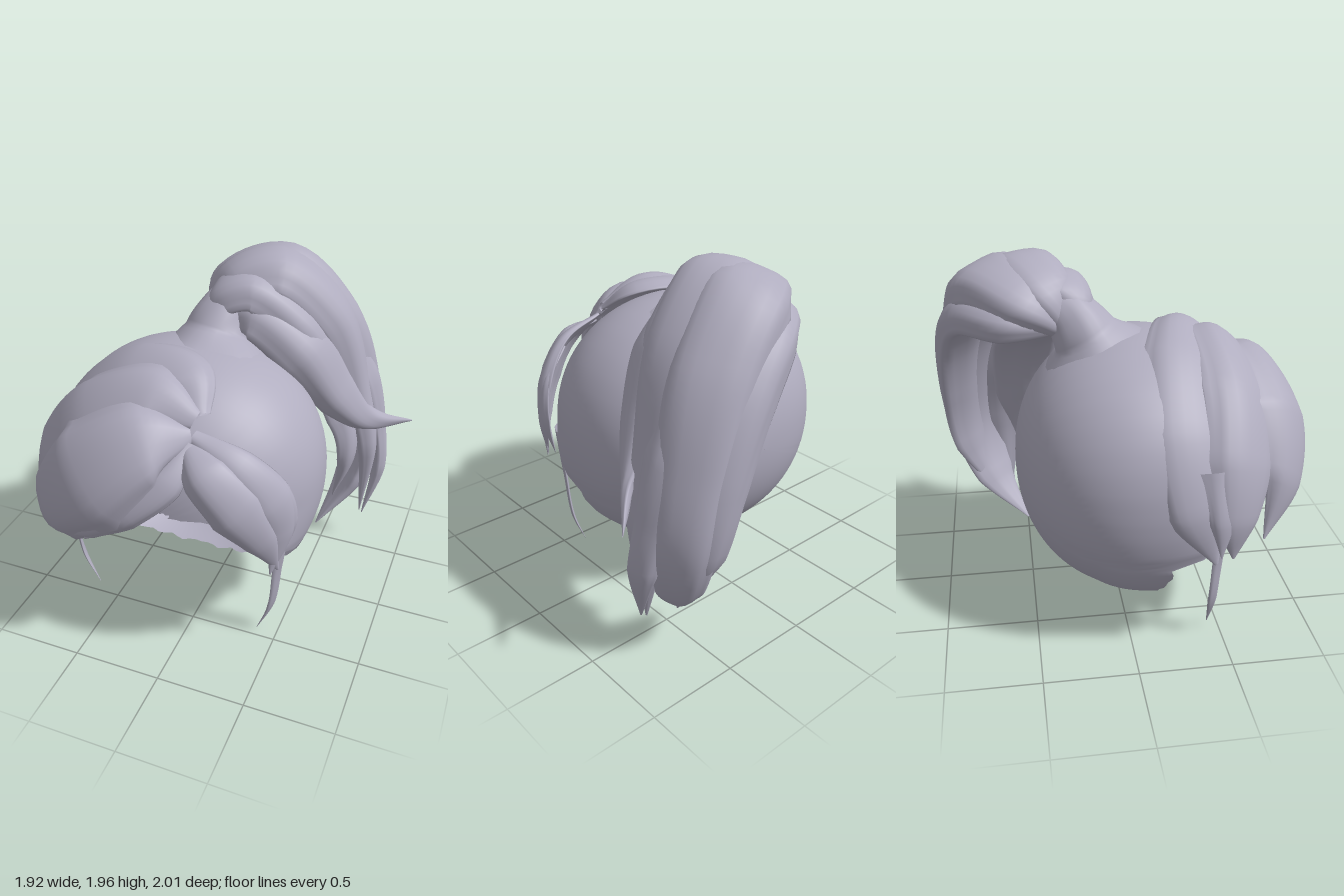
import * as THREE from 'three';

const hair = new THREE.MeshStandardMaterial({ color: 0xb0adbf, side: THREE.DoubleSide });
hair.name = 'ash lilac hair';

const HEAD = new THREE.Vector3(-0.15, 0.87, 0.1);
const TAIL = new THREE.Vector3(0.15, 1.1, -0.5);

// Smooth surface of closed rings: at(u, angle) gives a point, u runs 0..1 along the part
function ringSurface(at, rows, sides) {
  const pos = [], idx = [];
  for (let i = 0; i <= rows; i++) {
    for (let j = 0; j < sides; j++) pos.push(...at(i / rows, (j / sides) * Math.PI * 2).toArray());
  }
  for (let i = 0; i < rows; i++) {
    for (let j = 0; j < sides; j++) {
      const k = (j + 1) % sides;
      const a = i * sides + j, b = a + sides, c = (i + 1) * sides + k, d = i * sides + k;
      idx.push(a, b, c, a, c, d);
    }
  }
  const g = new THREE.BufferGeometry();
  g.setAttribute('position', new THREE.Float32BufferAttribute(pos, 3));
  g.setIndex(idx);
  g.computeVertexNormals();
  return g;
}

// Piecewise linear lookup in [key, value] pairs
function lookup(table, x) {
  for (let i = 1; i < table.length; i++) {
    const [x0, y0] = table[i - 1], [x1, y1] = table[i];
    if (x <= x1) return y0 + (y1 - y0) * Math.max(0, (x - x0) / (x1 - x0));
  }
  return table[table.length - 1][1];
}

// Tapered lock of hair through [x, y, z, halfWidth] stations, lying flat around a centre
function lock(name, stations, { centre = HEAD, thick = 0.3, bend = 0.22, ridge = 0.06 } = {}) {
  const curve = new THREE.CatmullRomCurve3(stations.map(([x, y, z]) => new THREE.Vector3(x, y, z)));
  const last = stations.length - 1;
  const at = (u, a) => {
    const p = curve.getPoint(u), t = curve.getTangent(u);
    const n = p.clone().sub(centre);
    n.addScaledVector(t, -n.dot(t)).normalize();
    const b = t.clone().cross(n);
    const i = Math.min(last - 1, Math.floor(u * last));
    const f = u * last - i;
    const w = THREE.MathUtils.lerp(stations[i][3], stations[i + 1][3], f);
    const r = w * (1 + ridge * Math.cos(5 * a + 3 * u));
    const c = Math.cos(a);
    return p.addScaledVector(b, r * c).addScaledVector(n, r * thick * Math.sin(a) - bend * w * c * c);
  };
  const mesh = new THREE.Mesh(ringSurface(at, last * 8, 24), hair);
  mesh.name = name;
  return mesh;
}

// Rounded scalp, open around the face and neck with a ragged hairline
function scalp() {
  const hairline = [[-90, 1.72], [-65, 1.66], [-48, 1.5], [-26, 1.42], [-22, 1.0], [0, 0.75], [8, 0.5],
    [20, 0.24], [90, 0.09]];
  const at = (u, a) => {
    let deg = THREE.MathUtils.radToDeg(a);
    if (deg > 270) deg -= 360;
    if (deg > 90) deg = 180 - deg;
    const start = lookup(hairline, deg) + 0.015 * Math.sin(a * 37) + 0.01 * Math.sin(a * 23);
    const th = start + (Math.PI - 0.002 - start) * u;
    const d = new THREE.Vector3(Math.sin(th) * Math.cos(a), Math.sin(th) * Math.sin(a), Math.cos(th));
    // squarer towards the lower front corners
    const p = 2.12 + 0.9 * Math.max(0, -d.y) * Math.max(0, 0.4 + d.z);
    const len = (Math.abs(d.x) ** p + Math.abs(d.y) ** p + Math.abs(d.z) ** p) ** (1 / p);
    return d.divideScalar(len).multiply(new THREE.Vector3(0.77, 0.72, 0.67)).add(HEAD);
  };
  const mesh = new THREE.Mesh(ringSurface(at, 40, 120), hair);
  mesh.name = 'scalp';
  return mesh;
}

function part(name, ...meshes) {
  const g = new THREE.Group();
  g.name = name;
  g.add(...meshes);
  return g;
}

export function createModel() {
  const model = new THREE.Group();
  model.name = 'hairstyle';
  model.add(scalp());

  // Fringe swept from the parting to the right side
  model.add(part('rightFringe',
    lock('mainSweep', [[0.07, 1.39, 0.63, 0.05], [-0.13, 1.39, 0.77, 0.23], [-0.42, 1.17, 0.87, 0.31],
      [-0.66, 0.9, 0.82, 0.22], [-0.8, 0.65, 0.68, 0.01]]),
    lock('middleSweep', [[0.08, 1.45, 0.58, 0.06], [-0.17, 1.53, 0.56, 0.19], [-0.52, 1.36, 0.6, 0.25],
      [-0.77, 1.08, 0.57, 0.24], [-0.87, 0.82, 0.53, 0.16], [-0.88, 0.6, 0.5, 0.01]]),
    lock('crownSweep', [[0.09, 1.46, 0.55, 0.05], [-0.03, 1.59, 0.4, 0.13], [-0.4, 1.53, 0.32, 0.21],
      [-0.74, 1.25, 0.29, 0.24], [-0.9, 0.9, 0.32, 0.18], [-0.92, 0.6, 0.4, 0.01]], { thick: 0.25 }),
    lock('centreLock', [[0.07, 1.36, 0.66, 0.04], [0.01, 1.2, 0.82, 0.09], [-0.18, 1.02, 0.92, 0.08],
      [-0.41, 0.82, 0.93, 0.005]]),
    lock('innerLock', [[-0.05, 1.25, 0.8, 0.06], [-0.28, 1.02, 0.91, 0.12], [-0.42, 0.89, 0.92, 0.08],
      [-0.55, 0.77, 0.88, 0.005]]),
    lock('lowerTip', [[-0.5, 1.1, 0.85, 0.12], [-0.66, 0.85, 0.8, 0.09], [-0.74, 0.66, 0.73, 0.005]]),
    lock('outerTip', [[-0.85, 1.1, 0.42, 0.12], [-0.93, 0.85, 0.43, 0.08], [-0.94, 0.65, 0.42, 0.005]])));

  // Shorter fringe on the left side
  model.add(part('leftFringe',
    lock('frontLock', [[0.06, 1.34, 0.66, 0.05], [0.2, 1.26, 0.76, 0.12], [0.37, 1.07, 0.74, 0.15],
      [0.48, 0.85, 0.66, 0.1], [0.53, 0.61, 0.57, 0.005]]),
    lock('sideLock', [[0.08, 1.38, 0.63, 0.04], [0.33, 1.27, 0.65, 0.1], [0.5, 1.06, 0.6, 0.13],
      [0.54, 0.85, 0.57, 0.1], [0.5, 0.6, 0.61, 0.005]]),
    lock('backLock', [[0.36, 1.25, 0.61, 0.06], [0.52, 1.08, 0.56, 0.08], [0.56, 0.88, 0.52, 0.08],
      [0.52, 0.65, 0.5, 0.005]])));

  // Thin strands hanging in front of the ears
  model.add(part('sideStrands',
    lock('rightStrand', [[-0.8, 0.82, 0.46, 0.06], [-0.77, 0.52, 0.45, 0.035], [-0.74, 0.24, 0.44, 0.03],
      [-0.65, 0.03, 0.44, 0.003]], { bend: 0 }),
    lock('leftStrand', [[0.51, 0.82, 0.47, 0.06], [0.49, 0.5, 0.45, 0.035], [0.46, 0.22, 0.44, 0.03],
      [0.38, 0.01, 0.44, 0.003]], { bend: 0 })));

  // Hair gathered up into the ponytail
  model.add(lock('ponytailBase', [[-0.1, 1.45, -0.12, 0.32], [-0.1, 1.56, -0.17, 0.18], [-0.08, 1.65, -0.23, 0.15],
    [-0.05, 1.73, -0.32, 0.12]], { centre: new THREE.Vector3(-0.1, 1.4, 1), thick: 1, bend: 0, ridge: 0.03 }));

  const fat = { centre: TAIL, thick: 0.5, bend: 0.15 };
  model.add(part('ponytail',
    lock('frontTailLock', [[-0.08, 1.64, -0.24, 0.1], [0.1, 1.69, -0.25, 0.18], [0.38, 1.5, -0.29, 0.2],
      [0.57, 1.2, -0.37, 0.15], [0.74, 0.98, -0.5, 0.07], [0.96, 0.88, -0.74, 0.004]], fat),
    lock('foldedTailLock', [[-0.13, 1.66, -0.28, 0.1], [-0.1, 1.75, -0.23, 0.14], [0.07, 1.81, -0.28, 0.17],
      [0.34, 1.62, -0.36, 0.18], [0.54, 1.3, -0.45, 0.14], [0.66, 0.95, -0.52, 0.01]], fat),
    lock('topTailLock', [[-0.1, 1.64, -0.26, 0.1], [-0.07, 1.8, -0.34, 0.18], [0.16, 1.86, -0.46, 0.23],
      [0.46, 1.6, -0.55, 0.21], [0.62, 1.15, -0.6, 0.17], [0.72, 0.75, -0.62, 0.13], [0.72, 0.22, -0.6, 0.005]], fat),
    lock('mainTailLock', [[-0.1, 1.64, -0.3, 0.1], [-0.1, 1.78, -0.46, 0.2], [0.15, 1.82, -0.65, 0.25],
      [0.44, 1.52, -0.75, 0.24], [0.6, 1.1, -0.81, 0.2], [0.67, 0.7, -0.81, 0.17], [0.61, 0.38, -0.71, 0.13],
      [0.46, 0.11, -0.5, 0.005]], fat),
    lock('rearTailLock', [[-0.1, 1.66, -0.34, 0.1], [-0.1, 1.7, -0.56, 0.18], [0.12, 1.68, -0.75, 0.2],
      [0.36, 1.45, -0.84, 0.2], [0.54, 1.05, -0.87, 0.18], [0.6, 0.65, -0.84, 0.14], [0.56, 0.22, -0.66, 0.005]], fat),
    lock('innerTailLock', [[0.05, 1.62, -0.4, 0.14], [0.35, 1.4, -0.48, 0.18], [0.57, 1.0, -0.5, 0.16],
      [0.63, 0.72, -0.47, 0.1], [0.56, 0.38, -0.48, 0.005]], fat),
    lock('outerTailLock', [[0.45, 1.55, -0.68, 0.12], [0.66, 1.15, -0.72, 0.14], [0.76, 0.82, -0.7, 0.1],
      [0.8, 0.55, -0.66, 0.08], [0.74, 0.22, -0.58, 0.005]], fat)));

  return model;
}
